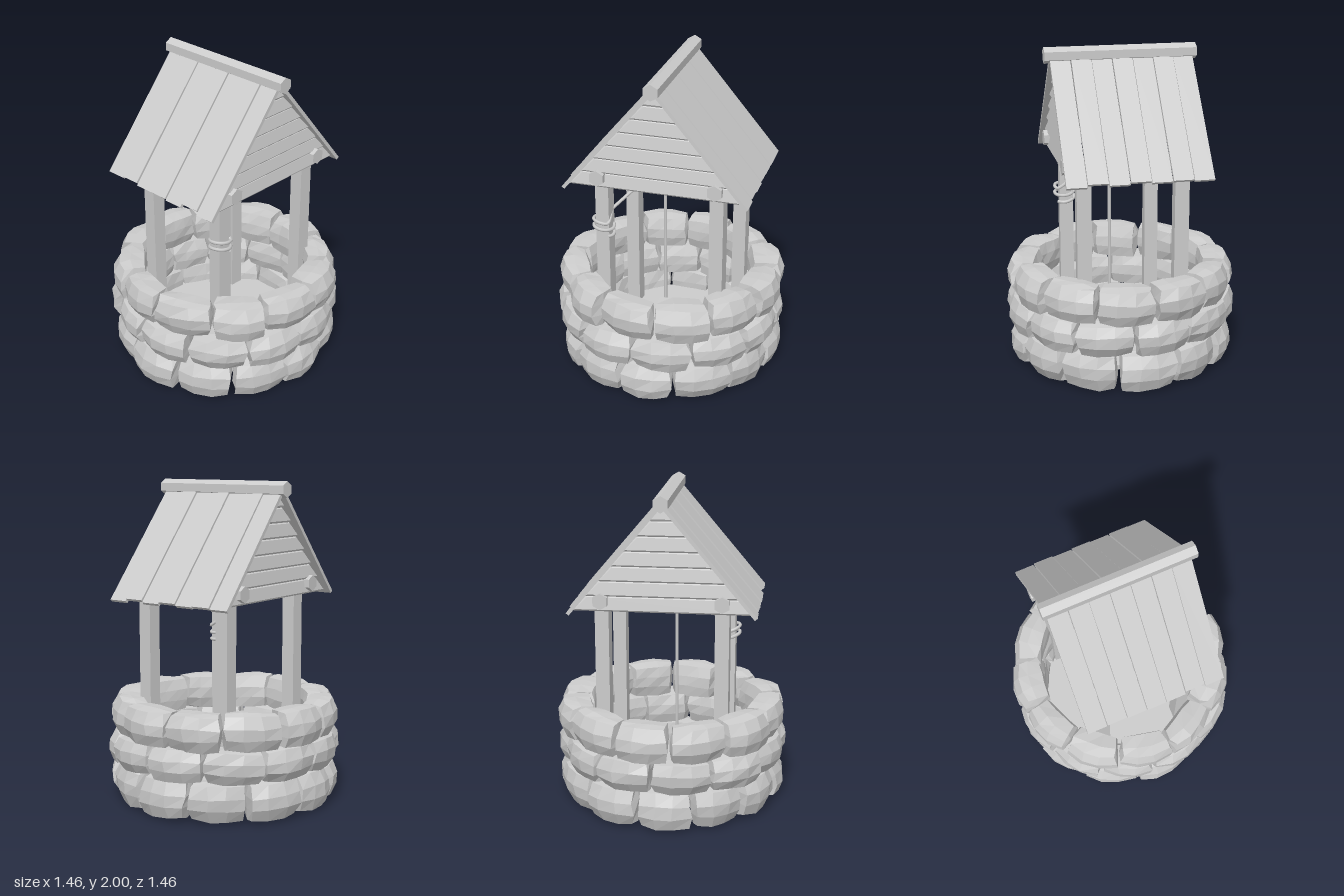
import * as THREE from 'three';

const mat = new THREE.MeshStandardMaterial({ color: 0xcccccc, flatShading: true });
const smooth = new THREE.MeshStandardMaterial({ color: 0xcccccc });

// Repeatable noise in -1..1
function noise(...n) {
  const s = Math.sin(n.reduce((a, v, i) => a + v * [12.99, 78.23, 37.72, 51.37][i], 4.1)) * 43758.5453;
  return (s - Math.floor(s)) * 2 - 1;
}

function add(parent, name, geometry, material = mat) {
  const mesh = new THREE.Mesh(geometry, material);
  mesh.name = name;
  parent.add(mesh);
  return mesh;
}

// Block bent round the well axis, bulging on every side and slightly askew
function stoneGeometry(id, angle, span, y0, y1, rOut) {
  const g = new THREE.BoxGeometry(2, 2, 2, 3, 3, 2);
  const p = g.attributes.position;
  const rIn = 0.505 + 0.01 * noise(id, 1);
  const out = rOut + 0.01 * noise(id, 2);
  const yaw = 0.02 * noise(id, 3), lean = 0.012 * noise(id, 4), roll = 0.009 * noise(id, 5);
  const half = (y1 - y0) / 2;
  for (let i = 0; i < p.count; i++) {
    const [w, v, u] = [p.getX(i), p.getY(i), p.getZ(i)];
    const j = k => noise(id + k * 0.31, w, v, u);
    const end = w ** 4, edge = v * v;
    let r = u > 0.5 ? out - 0.036 * edge - 0.018 * end
      : u < -0.5 ? rIn + 0.02 * edge + 0.012 * end : (rIn + out) / 2;
    r += yaw * w + lean * v + 0.005 * j(1);
    const a = angle + w * span / 2 * (0.98 - 0.07 * edge - 0.05 * Math.abs(u)) + 0.016 * j(2);
    const y = (y0 + y1) / 2 + v * half * (1.03 - 0.07 * end - 0.07 * Math.abs(u)) + roll * w + 0.005 * j(3);
    p.setXYZ(i, Math.sin(a) * r, y, Math.cos(a) * r);
  }
  g.computeVertexNormals();
  return g;
}

function hexBeam(parent, name, x, y, length, radius) {
  const m = add(parent, name, new THREE.CylinderGeometry(radius, radius, length, 6));
  m.rotation.x = Math.PI / 2;
  m.position.set(x, y, 0);
}

export function createModel() {
  const root = new THREE.Group();
  root.name = 'well';

  // Three staggered courses of twelve stones: bottom, top, radius, joint angle
  const wall = new THREE.Group();
  wall.name = 'stoneWall';
  root.add(wall);
  const step = Math.PI / 6;
  [[0.012, 0.25, 0.717, 17], [0.243, 0.448, 0.735, 26], [0.438, 0.66, 0.724, 6]].forEach(([y0, y1, r, joint], row) => {
    const start = THREE.MathUtils.degToRad(joint);
    const shift = i => 0.02 * noise(row, i % 12);
    for (let i = 0; i < 12; i++) {
      const a = start + i * step + shift(i), b = start + (i + 1) * step + shift(i + 1);
      add(wall, 'stone', stoneGeometry(row * 12 + i, (a + b) / 2, b - a, y0, y1, r));
    }
  });

  // Floor inside the wall
  add(root, 'floor', new THREE.CylinderGeometry(0.54, 0.54, 0.03, 24)).position.y = 0.11;

  // Posts, set a little unevenly, and the beams lying on them
  const frame = new THREE.Group();
  frame.name = 'frame';
  root.add(frame);
  for (const [x, z] of [[-0.345, 0.29], [0.377, 0.302], [-0.342, -0.28], [0.384, -0.294]]) {
    const post = add(frame, 'post', new THREE.BoxGeometry(0.086, 1.24, 0.088));
    post.position.set(x, 0.74, z);
    post.rotation.y = -0.05;
  }
  for (const x of [-0.345, 0.38]) hexBeam(frame, 'sideBeam', x, 1.355, 0.86, 0.05);
  const cross = add(frame, 'crossBeam', new THREE.CylinderGeometry(0.045, 0.045, 0.74, 6));
  cross.rotation.z = Math.PI / 2;
  cross.position.set(0.018, 1.36, 0.01);

  // Roof: planks on both slopes, alternately raised, with uneven lower ends
  const roof = new THREE.Group();
  roof.name = 'roof';
  roof.position.x = 0.011;
  root.add(roof);
  const slope = Math.atan2(0.64, 0.54);
  for (const side of [-1, 1]) {
    for (let i = 0; i < 7; i++) {
      const length = 0.84 + 0.012 * noise(side, i);
      const plank = add(roof, 'roofPlank', new THREE.BoxGeometry(length, 0.022, 0.122));
      const d = length / 2, lift = i % 2 ? 0.004 : -0.003;
      plank.position.set(side * (0.02 + d * Math.cos(slope) + lift * Math.sin(slope)),
        1.925 - d * Math.sin(slope) + lift * Math.cos(slope), -0.385 + i * 0.1265);
      plank.rotation.set(0, 0.005 * noise(i, side, 3), -side * slope);
    }
  }
  hexBeam(roof, 'ridgeBeam', 0, 1.949, 0.94, 0.05);

  // Chamfered gable boards, leaning out at the bottom
  const halfWidth = y => Math.max(0.03, 0.545 - (y - 1.285) * 0.54 / 0.64);
  for (const end of [1, -1]) {
    for (let i = 0; i < 7; i++) {
      const y = 1.29 + i * 0.0915, h = 0.096;
      const a = halfWidth(y), b = halfWidth(y + h);
      const shape = new THREE.Shape([[-a, 0], [a, 0], [b, h], [-b, h]].map(q => new THREE.Vector2(...q)));
      const g = new THREE.ExtrudeGeometry(shape, {
        depth: 0.006, bevelThickness: 0.01, bevelSize: 0.014, bevelOffset: -0.014, bevelSegments: 1,
      });
      g.translate(0, 0, -0.003);
      const board = add(roof, 'gableBoard', g);
      board.position.set(0, y, end * 0.395);
      board.rotation.x = -end * 0.2;
    }
  }

  // Rope: tied round a post, over the cross beam and down the well
  const rope = new THREE.Group();
  rope.name = 'rope';
  root.add(rope);
  const tube = (name, pts, segments) => add(rope, name, new THREE.TubeGeometry(
    new THREE.CatmullRomCurve3(pts.map(q => new THREE.Vector3(...q))), segments, 0.011, 6), smooth);
  tube('hangingRope', [[-0.31, 1.08, 0.255], [-0.19, 1.188, 0.118], [-0.07, 1.3, -0.02], [-0.04, 1.37, -0.046],
    [-0.03, 1.415, 0.005], [-0.025, 1.37, 0.06], [-0.025, 1.2, 0.062], [-0.025, 0.7, 0.062], [-0.025, 0.15, 0.062]], 60);
  const coil = [];
  for (let i = 0; i <= 20; i++) {
    const a = i / 10 * Math.PI * 2 + 0.7;
    coil.push([-0.35 + 0.063 * Math.sin(a), 0.94 + i * 0.0045 - 0.016 * Math.sin(a), 0.298 + 0.063 * Math.cos(a)]);
  }
  coil.push([-0.31, 1.08, 0.255]);
  tube('ropeCoil', coil, 70);

  return root;
}
